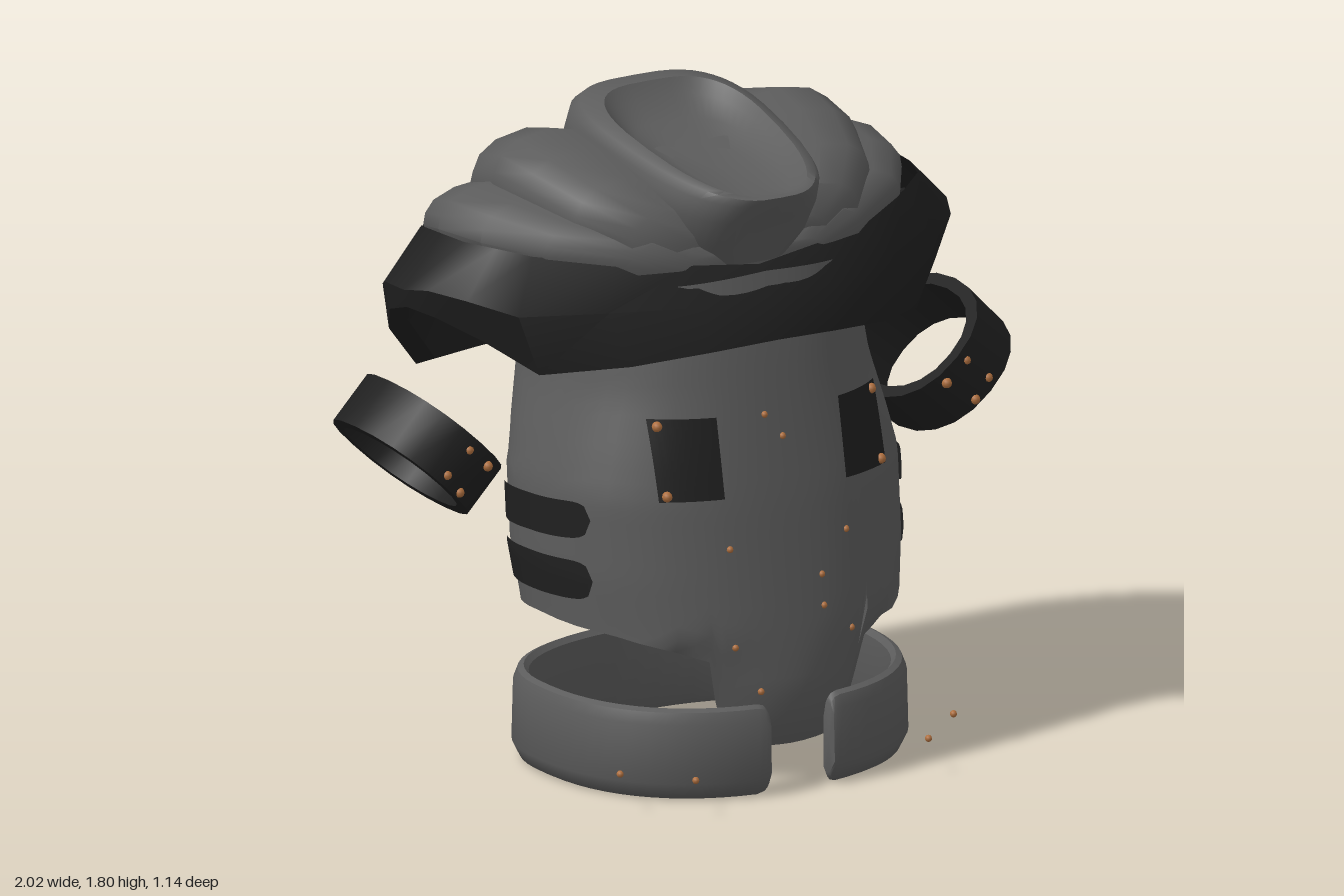
import * as THREE from 'three';
import { toCreasedNormals } from 'three/addons/utils/BufferGeometryUtils.js';

const flat = (name, color) => {
  const m = new THREE.MeshStandardMaterial({ color, side: THREE.DoubleSide });
  m.name = name;
  return m;
};

// Piecewise linear lookup in [[key, value], ...]
function lookup(table, k) {
  if (k <= table[0][0]) return table[0][1];
  for (let i = 1; i < table.length; i++) {
    const [k0, v0] = table[i - 1], [k1, v1] = table[i];
    if (k <= k1) return v0 + (v1 - v0) * (k - k0) / (k1 - k0);
  }
  return table[table.length - 1][1];
}

// Skin over equal-length rows of [x, y, z] points
function loft(rows, { closeRow = false, closeLoft = false, cap = false, crease = 0.7 } = {}) {
  const all = rows.slice();
  if (cap) {
    const middle = r => {
      const c = [0, 1, 2].map(k => r.reduce((s, p) => s + p[k], 0) / r.length);
      return r.map(() => c);
    };
    all.unshift(middle(rows[0]));
    all.push(middle(rows[rows.length - 1]));
  }
  const n = all[0].length, m = all.length, index = [];
  for (let i = 0; i < (closeLoft ? m : m - 1); i++) {
    for (let j = 0; j < (closeRow ? n : n - 1); j++) {
      const a = i * n + j, b = i * n + (j + 1) % n;
      const c = ((i + 1) % m) * n + j, d = ((i + 1) % m) * n + (j + 1) % n;
      index.push(a, b, d, a, d, c);
    }
  }
  const g = new THREE.BufferGeometry();
  g.setAttribute('position', new THREE.Float32BufferAttribute(all.flat(2), 3));
  g.setIndex(index);
  return toCreasedNormals(g, crease);
}

const spow = (v, e) => Math.sign(v) * Math.pow(Math.abs(v), e);
const rad = THREE.MathUtils.degToRad;
const ROUND = 0.87;

// Plan curve shared by torso and belt; 0 degrees faces the front
function plan(deg, w, front, back) {
  const s = Math.sin(rad(deg)), c = Math.cos(rad(deg));
  return [w * spow(s, ROUND), spow(c, ROUND) * (c > 0 ? front : back)];
}

// Torso profile by height, with a rear that tapers below and flares above
const WIDTH = [[0.45, 0.52], [0.6, 0.535], [0.82, 0.535], [0.93, 0.505], [1.1, 0.45], [1.3, 0.42]];
const FRONT = [[0.12, 0.455], [0.16, 0.48], [0.28, 0.505], [0.4, 0.495], [0.8, 0.44], [1.2, 0.37], [1.45, 0.32]];
const BACK = [[0.3, 0.385], [0.5, 0.405], [0.85, 0.435], [1.05, 0.46], [1.2, 0.48]];
const REAR = [[0.3, 0.9], [0.6, 1], [0.85, 1.02], [1.2, 1.15]];
// Torso hem and upper edge by angle: front and back flaps, armhole notches
const HEM = [[0, 0.12], [15, 0.125], [18, 0.15], [22, 0.27], [25, 0.38], [40, 0.42], [60, 0.45],
  [90, 0.46], [130, 0.43], [150, 0.42], [155, 0.33], [159, 0.3], [180, 0.3]];
const TOP = [[0, 1.42], [40, 1.4], [65, 1.36], [82, 1.31], [103, 1.14], [135, 1.28], [180, 1.42]];

function torsoPoint(deg, y, out = 0) {
  const [x, z] = plan(deg, lookup(WIDTH, y) + out, lookup(FRONT, y) + out, lookup(BACK, y) + out);
  const rear = THREE.MathUtils.clamp(-z / 0.35, 0, 1);
  // The front flap curls back at its sides
  const curl = z > 0 && Math.abs(x) < 0.35 ? THREE.MathUtils.clamp((0.45 - y) / 0.2, 0, 1) * 1.2 * x * x : 0;
  return [x * (1 + (lookup(REAR, y) - 1) * rear), y, z - curl];
}

// Torso angle at a given sideways distance
const angleAt = (x, y) => Math.asin(Math.pow(x / lookup(WIDTH, y), 1 / ROUND)) * 180 / Math.PI;

function torsoGeometry() {
  const half = [3, 7, 11, 15, 18, 20, 22, 25, 30, 36, 42, 50, 58, 66, 74, 82, 90, 97, 103, 110, 118,
    126, 134, 142, 150, 152, 155, 159, 165, 172];
  const angles = [0, ...half, 180, ...half.slice().reverse().map(a => -a)];
  const rows = [];
  for (let i = 0; i <= 26; i++) {
    rows.push(angles.map(a => {
      const lo = lookup(HEM, Math.abs(a)), hi = lookup(TOP, Math.abs(a));
      return torsoPoint(a, lo + (hi - lo) * i / 26);
    }));
  }
  return loft(rows, { closeRow: true, crease: 1 });
}

// Thin painted sheet following the torso; angle, low and high are rules along its length
function patchGeometry(side, angle, low, high) {
  const rows = [], n = 24;
  for (let i = 0; i <= n; i++) {
    const t = i / n, row = [];
    for (let j = 0; j <= 8; j++) {
      const y = low(t) + (high(t) - low(t)) * j / 8;
      row.push(torsoPoint(angle(t, y) * side, y, 0.008));
    }
    rows.push(row);
  }
  return loft(rows);
}

// Open belt with rounded ends
function beltGeometry() {
  const section = [[0.02, 0.008], [0, 0.05], [0.004, 0.215], [0.016, 0.247], [0.032, 0.255], [0.045, 0.24],
    [0.045, 0.02], [0.035, 0]];
  const angles = [8.3, 8.7, 9.6];
  for (let i = 0; i <= 58; i++) angles.push(11.5 + 337 * i / 58);
  angles.push(350.4, 351.3, 351.7);
  const rows = angles.map(a => {
    const k = lookup([[8.3, 0.8], [8.7, 0.88], [9.6, 0.96], [11.5, 1]], Math.min(a, 360 - a));
    return section.map(([d, y]) => {
      const [x, z] = plan(a, 0.54 - d, 0.52 - d, 0.385 - d);
      return [x, 0.128 + (y - 0.128) * k, z];
    });
  });
  return loft(rows, { closeRow: true, cap: true });
}

// Collar band: lower, bulging middle and upper edges of one half
function collarGeometry() {
  const lower = [[0, 1.24, 0.385], [0.2, 1.23, 0.365], [0.4, 1.2, 0.28], [0.6, 1.17, 0.13], [0.72, 1.26, 0.03],
    [0.8, 1.31, -0.08], [0.83, 1.32, -0.18], [0.81, 1.28, -0.3], [0.75, 1.19, -0.4], [0.62, 1.05, -0.47],
    [0.4, 1.05, -0.52], [0, 1.07, -0.55]];
  const middle = [[0, 1.35, 0.36], [0.2, 1.35, 0.335], [0.45, 1.35, 0.245], [0.66, 1.34, 0.12], [0.77, 1.38, 0.03],
    [0.825, 1.39, -0.08], [0.84, 1.37, -0.18], [0.825, 1.36, -0.3], [0.77, 1.32, -0.4], [0.65, 1.24, -0.475],
    [0.42, 1.24, -0.54], [0, 1.26, -0.57]];
  const upper = [[0, 1.43, 0.29], [0.2, 1.45, 0.265], [0.4, 1.47, 0.2], [0.59, 1.49, 0.08], [0.67, 1.51, 0.02],
    [0.71, 1.51, -0.08], [0.72, 1.51, -0.18], [0.71, 1.5, -0.29], [0.66, 1.47, -0.38], [0.56, 1.44, -0.47],
    [0.36, 1.44, -0.535], [0, 1.45, -0.56]];
  const inner = lower.map(([x, y, z]) => [x * 0.94, y + 0.02, z * 0.92]);
  const lining = upper.map(([x, y, z]) => [x * 0.9, y - 0.06, z * 0.9]);
  const whole = r => [...r, ...r.slice(1, -1).reverse().map(([x, y, z]) => [-x, y, z])];
  return loft([lining, inner, lower, middle, upper].map(whole), { closeRow: true });
}

// Layered pad from stations of [z, half width, base y, top y], dipping along the middle
function padGeometry(stations) {
  const profile = [[0.96, 0], [1, 0.3], [0.99, 0.52], [0.95, 0.74], [0.85, 0.91], [0.66, 1], [0.45, 0.88]];
  const rows = stations.map(([z, w, lo, hi]) => {
    const half = profile.map(([px, py]) => [w * px, lo + (hi - lo) * py, z]);
    return [...half, [0, lo + (hi - lo) * 0.7, z], ...half.slice().reverse().map(([x, y]) => [-x, y, z])];
  });
  return loft(rows, { closeRow: true, cap: true, crease: 0.75 });
}

// Central scoop: rings of [zFront, zBack, wFront, wBack, yFront, yBack], running over the rim into the hollow
function scoopGeometry() {
  const rings = [[0.285, -0.46, 0.15, 0.24, 1.435, 1.5], [0.31, -0.44, 0.205, 0.27, 1.49, 1.6],
    [0.355, -0.42, 0.215, 0.278, 1.57, 1.7], [0.39, -0.39, 0.195, 0.278, 1.625, 1.77],
    [0.4, -0.36, 0.17, 0.26, 1.645, 1.795], [0.385, -0.28, 0.145, 0.22, 1.65, 1.8],
    [0.37, -0.25, 0.13, 0.195, 1.64, 1.76], [0.34, -0.18, 0.11, 0.16, 1.63, 1.71],
    [0.28, -0.06, 0.07, 0.1, 1.625, 1.67]];
  const rows = rings.map(([zf, zb, wf, wb, yf, yb]) => {
    const row = [];
    for (let i = 0; i < 48; i++) {
      const a = i / 48 * Math.PI * 2;
      const t = (1 - spow(Math.cos(a), 0.6)) / 2;
      const w = wb + (wf - wb) * Math.pow(1 - t, 2.5);
      row.push([spow(Math.sin(a), 0.6) * w, yf + (yb - yf) * t, zf + (zb - zf) * t]);
    }
    return row;
  });
  return loft(rows, { closeRow: true, cap: true, crease: 0.9 });
}

// Tilted arm band
function armBandGeometry(side) {
  const section = [[0, -0.078], [0, 0.078], [0.036, 0.078], [0.036, -0.078]], rows = [];
  for (let i = 0; i < 20; i++) {
    const a = i / 20 * Math.PI * 2;
    rows.push(section.map(([d, h]) => {
      const u = spow(Math.cos(a), 0.9) * (0.2 - d), z = spow(Math.sin(a), 0.9) * (0.242 - d);
      return [side * (0.81 + 0.72 * u - 0.69 * h), 0.935 + 0.69 * u + 0.72 * h, -0.158 + z];
    }));
  }
  return loft(rows, { closeRow: true, closeLoft: true });
}

export function createModel() {
  const model = new THREE.Group();
  model.name = 'chestArmour';
  const grey = flat('armourGrey', 0x5c5c5c);
  const dark = flat('strapBlack', 0x1f1f1f);
  const copper = flat('rivetCopper', 0xb0703f);
  const add = (name, geometry, material) => {
    const mesh = new THREE.Mesh(geometry, material);
    mesh.name = name;
    model.add(mesh);
    return mesh;
  };

  add('torsoShell', torsoGeometry(), grey);
  add('belt', beltGeometry(), grey);
  add('collar', collarGeometry(), dark);
  add('outerShoulderPad', padGeometry([[0.265, 0.22, 1.42, 1.47], [0.23, 0.36, 1.43, 1.53], [0.1, 0.565, 1.45, 1.58],
    [-0.06, 0.67, 1.46, 1.615], [-0.22, 0.705, 1.46, 1.625], [-0.37, 0.66, 1.43, 1.58], [-0.46, 0.57, 1.41, 1.53],
    [-0.53, 0.4, 1.41, 1.49], [-0.565, 0.25, 1.41, 1.46]]), grey);
  add('innerShoulderPad', padGeometry([[0.25, 0.24, 1.44, 1.53], [0.215, 0.36, 1.46, 1.6], [0.1, 0.47, 1.5, 1.67],
    [-0.06, 0.53, 1.54, 1.72], [-0.2, 0.545, 1.54, 1.745], [-0.35, 0.52, 1.5, 1.705], [-0.43, 0.48, 1.46, 1.61],
    [-0.52, 0.38, 1.44, 1.52]]), grey);
  add('scoop', scoopGeometry(), grey);

  const smallRivet = new THREE.SphereGeometry(0.01, 8, 6);
  const largeRivet = new THREE.SphereGeometry(0.015, 8, 6);
  const addRivet = (shape, x, y, z) => add('rivet', shape, copper).position.set(x, y, z);
  const chestRivet = (shape, x, y, out) =>
    addRivet(shape, ...torsoPoint(angleAt(Math.abs(x), y) * Math.sign(x), y, out));

  for (const side of [1, -1]) {
    add('armBand', armBandGeometry(side), dark);
    add('chestPatch', patchGeometry(side, (t, y) => angleAt(0.19 + 0.165 * t, y), () => 0.83, () => 1.05), dark);
    // Rounded side stripes, sloping down to the back
    for (const [start, end, h] of [[0.765, 0.715, 0.052], [0.595, 0.56, 0.055]]) {
      const mid = t => start + (end - start) * t;
      const tall = t => h * Math.sqrt(Math.max(0, 1 - Math.pow(Math.abs(2 * t - 1), 10)));
      add('sideStripe', patchGeometry(side, t => 64 + 58 * t, t => mid(t) - tall(t), t => mid(t) + tall(t)), dark);
    }
    for (const y of [1.03, 0.845]) chestRivet(largeRivet, side * 0.335, y, 0.007);
    for (const y of [0.69, 0.42]) chestRivet(smallRivet, side * 0.185, y, -0.002);
    for (const [x, y] of [[0.79, 0.975], [0.86, 0.915], [0.73, 0.92], [0.82, 0.86]]) {
      addRivet(largeRivet, side * x, y, 0.073);
    }
    // Loose rivets around the belt
    for (const [x, y, z] of [[0.53, 0.11, 0.43], [0.37, 0.1, 0.56], [0.1, 0.11, -0.505]]) {
      addRivet(smallRivet, side * x, y, z);
    }
  }
  for (const [x, y] of [[-0.05, 1.04], [0, 0.975], [0.09, 0.585], [0.09, 0.5], [-0.115, 0.29]]) {
    chestRivet(smallRivet, x, y, -0.002);
  }
  return model;
}
